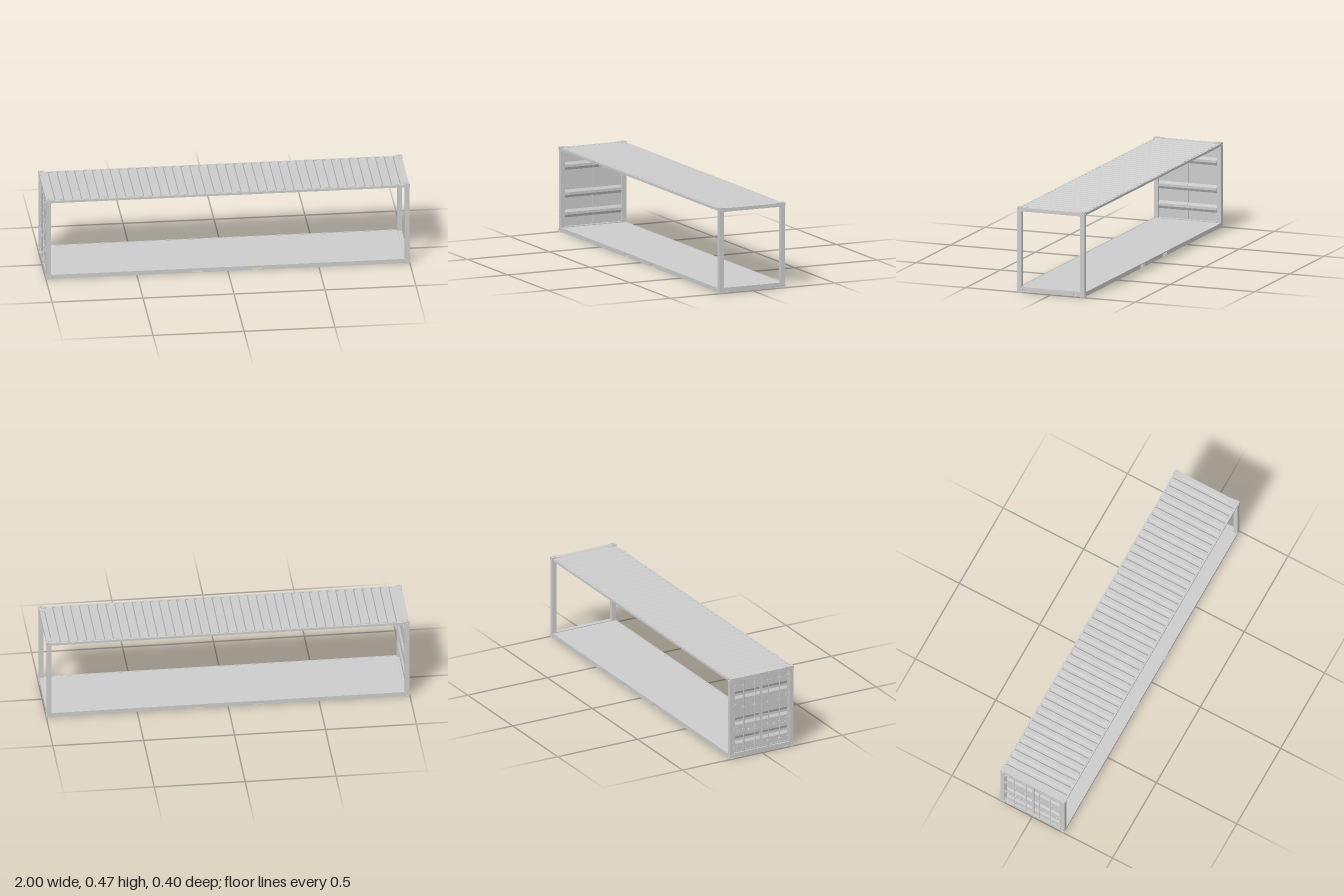
import * as THREE from 'three';

const mat = new THREE.MeshStandardMaterial({ color: 0xcccccc, flatShading: true });
const smooth = new THREE.MeshStandardMaterial({ color: 0xcccccc });
const SIGNS = [-1, 1];
const H = 0.475, W = 0.2;

export function createModel() {
  const root = new THREE.Group();

  function add(name, geo, x, y, z, parent = root, material = mat) {
    const m = new THREE.Mesh(geo, material);
    m.name = name;
    m.position.set(x, y, z);
    parent.add(m);
    return m;
  }
  function group(name) {
    const g = new THREE.Group();
    g.name = name;
    root.add(g);
    return g;
  }
  // box given by its minimum and maximum on each axis
  function span(name, x0, x1, y0, y1, z0, z1, parent) {
    return add(name, new THREE.BoxGeometry(x1 - x0, y1 - y0, z1 - z0),
      (x0 + x1) / 2, (y0 + y1) / 2, (z0 + z1) / 2, parent);
  }
  // rectangular plate with holes, centred on its own origin, thickness along z
  function plate(w, h, t, holes) {
    const s = new THREE.Shape();
    s.moveTo(-w / 2, -h / 2).lineTo(w / 2, -h / 2).lineTo(w / 2, h / 2).lineTo(-w / 2, h / 2).closePath();
    s.holes = holes;
    return new THREE.ExtrudeGeometry(s, { depth: t, bevelEnabled: false, curveSegments: 10 }).translate(0, 0, -t / 2);
  }
  function ovalHole(rx, ry) {
    const p = new THREE.Path();
    p.absellipse(0, 0, rx, ry, 0, Math.PI * 2, true);
    return p;
  }
  function rectHole(x0, x1, y0, y1) {
    const p = new THREE.Path();
    p.moveTo(x0, y0).lineTo(x0, y1).lineTo(x1, y1).lineTo(x1, y0).closePath();
    return p;
  }
  // folded sheet: polyline thickened by (dx, dy) and extruded along z
  function foldedSheet(pts, dx, dy, depth) {
    const back = pts.map(([x, y]) => [x + dx, y + dy]).reverse();
    const s = new THREE.Shape([...pts, ...back].map(([x, y]) => new THREE.Vector2(x, y)));
    return new THREE.ExtrudeGeometry(s, { depth, bevelEnabled: false });
  }

  // corner castings: a core with three pierced outer plates
  const cx = 0.029, cy = 0.02, cz = 0.027, t = 0.004;
  for (const sx of SIGNS) for (const sz of SIGNS) for (const top of [0, 1]) {
    const g = group('cornerCasting');
    const sy = top ? 1 : -1;
    g.position.set(sx * (1 - cx / 2), top ? H - cy / 2 : cy / 2, sz * (W - cz / 2));
    add('castingCore', new THREE.BoxGeometry(cx - t, cy - t, cz - t), -sx * t / 2, -sy * t / 2, -sz * t / 2, g);
    const end = plate(cz, cy, t, [ovalHole(0.0055, 0.006)]).rotateY(Math.PI / 2);
    add('castingEnd', end, sx * (cx - t) / 2, 0, 0, g);
    add('castingSide', plate(cx - t, cy, t, [ovalHole(0.008, 0.0055)]), -sx * t / 2, 0, sz * (cz - t) / 2, g);
    const cap = plate(cx - t, cz - t, t, [ovalHole(0.008, 0.005)]).rotateX(Math.PI / 2);
    add('castingCap', cap, -sx * t / 2, sy * (cy - t) / 2, -sz * t / 2, g);
  }

  // corner posts
  for (const sx of SIGNS) for (const sz of SIGNS)
    add('cornerPost', new THREE.BoxGeometry(0.024, H - 2 * cy, 0.0255), sx * 0.985, H / 2, sz * 0.1862);

  // side rails, the lower ones pierced by the fork pockets
  const pockets = [[-0.197, -0.138], [0.132, 0.19]];
  for (const sz of SIGNS) {
    span('topSideRail', -0.971, 0.971, 0.456, 0.469, sz * 0.193 - 0.005, sz * 0.193 + 0.005);
    const rail = plate(1.942, 0.024, 0.006, pockets.map(([a, b]) => rectHole(a, b, -0.01, 0.006)));
    add('bottomSideRail', rail, 0, 0.015, sz * 0.195);
    for (const [a, b] of [[-0.97, pockets[0][0]], [pockets[0][1], pockets[1][0]], [pockets[1][1], 0.97]])
      span('railFoot', a, b, 0.003, 0.006, sz * 0.187 - 0.006, sz * 0.187 + 0.006);
  }

  // end headers and sills with recessed openings
  for (const sx of SIGNS) {
    add('endHeader', new THREE.BoxGeometry(0.024, 0.0195, 0.346), sx * 0.985, 0.4617, 0);
    const sill = plate(0.346, 0.027, 0.005, SIGNS.map((s) =>
      s < 0 ? rectHole(-0.17, -0.132, -0.0105, 0.003) : rectHole(0.132, 0.17, -0.0105, 0.003)));
    add('endSill', sill.rotateY(Math.PI / 2), sx * 0.9945, 0.0165, 0);
    add('sillBack', new THREE.BoxGeometry(0.02, 0.027, 0.346), sx * 0.982, 0.0165, 0);
    for (const sz of SIGNS)
      add('roofCornerPlate', new THREE.BoxGeometry(0.034, 0.002, 0.028), sx * 0.98, 0.4725, sz * 0.159);
  }

  // floor: thin deck over underfloor panels, with grooves for the pockets
  span('floorDeck', -0.972, 0.972, 0.0215, 0.0255, -0.192, 0.192);
  for (const [a, b] of [[-0.94, pockets[0][0]], [pockets[0][1], pockets[1][0]], [pockets[1][1], 0.94]])
    span('underfloorPanel', a, b, 0.0065, 0.0215, -0.191, 0.191);

  // corrugated roof
  const ribs = 40, pitch = 1.946 / ribs, low = 0.462, high = 0.469;
  const roof = [];
  for (let i = 0; i < ribs; i++) {
    const x = -0.973 + i * pitch;
    roof.push([x, high], [x + pitch * 0.45, high], [x + pitch * 0.6, low], [x + pitch * 0.85, low]);
  }
  roof.push([0.973, high]);
  add('corrugatedRoof', foldedSheet(roof, 0, 0.002, 0.378), 0, 0, -0.189);

  // half-round lamps along the ceiling
  for (let i = 0; i < 6; i++) {
    const lamp = new THREE.CylinderGeometry(0.011, 0.011, 0.2, 16).rotateZ(Math.PI / 2).scale(1, 0.7, 1);
    add('ceilingLamp', lamp, -0.78 + i * 0.298, 0.4535, 0, root, smooth);
    span('lampMount', -0.87 + i * 0.298, -0.69 + i * 0.298, 0.456, 0.463, -0.008, 0.008);
  }

  // door leaves with three folds pressed inwards
  const outer = -0.987, inner = -0.978;
  const door = [[outer, 0.031]];
  for (const y of [0.08, 0.19, 0.344])
    door.push([outer, y], [inner, y + 0.015], [inner, y + 0.029], [outer, y + 0.044]);
  door.push([outer, 0.451]);
  for (const s of SIGNS) {
    const g = group(s > 0 ? 'leftDoor' : 'rightDoor');
    add('doorPanel', foldedSheet(door, 0.003, 0, 0.171), 0, 0, s > 0 ? 0.0008 : -0.1718, g);
    // outer frame of the leaf
    for (const z of [0.004, 0.168])
      span('doorStile', -0.9905, -0.9865, 0.031, 0.451, s * z - 0.0035, s * z + 0.0035, g);
    for (const y of [0.035, 0.447])
      span('doorEdge', -0.9905, -0.9865, y - 0.004, y + 0.004, s * 0.086 - 0.08, s * 0.086 + 0.08, g);
    // locking bars with guides, cams and handles
    for (const z of [0.042, 0.112]) {
      add('lockingBar', new THREE.CylinderGeometry(0.003, 0.003, 0.446, 10), -0.9945, 0.24, s * z, g, smooth);
      for (const y of [0.06, 0.16, 0.29, 0.42])
        add('barGuide', new THREE.BoxGeometry(0.011, 0.009, 0.013), -0.9925, y, s * z, g);
      for (const y of [0.022, 0.458])
        add('barCam', new THREE.BoxGeometry(0.008, 0.012, 0.014), -0.995, y, s * z, g);
      add('lockHandle', new THREE.BoxGeometry(0.003, 0.005, 0.05), -0.998, 0.15, s * (z + 0.02), g);
      add('handleCatch', new THREE.BoxGeometry(0.01, 0.014, 0.01), -0.992, 0.15, s * (z + 0.038), g);
    }
    // hinges
    for (const y of [0.06, 0.17, 0.31, 0.42]) {
      add('hingeLeaf', new THREE.BoxGeometry(0.004, 0.014, 0.022), -0.992, y, s * 0.163, g);
      add('hingePin', new THREE.CylinderGeometry(0.003, 0.003, 0.022, 10), -0.9965, y, s * 0.174, g, smooth);
    }
  }
  return root;
}
